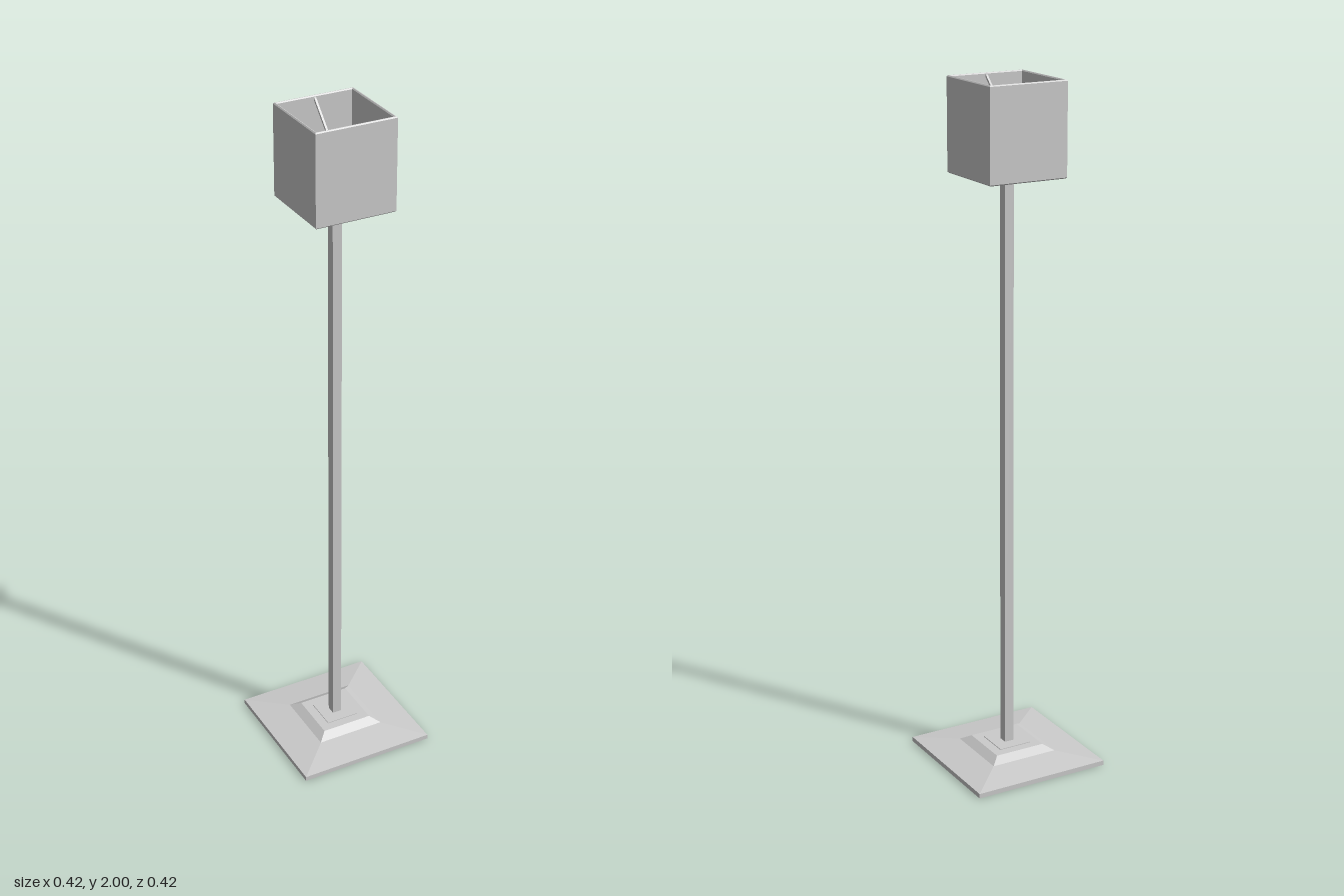
import * as THREE from 'three';

export function createModel() {
  const group = new THREE.Group();
  const material = new THREE.MeshStandardMaterial({ color: 0xcccccc, flatShading: true });

  const add = (name, geometry) => {
    const mesh = new THREE.Mesh(geometry, material);
    mesh.name = name;
    group.add(mesh);
    return mesh;
  };

  // Square block from y0 to y1 whose half width goes from h0 to h1
  const squareBlock = (name, y0, y1, h0, h1 = h0) => {
    const g = new THREE.CylinderGeometry(h1 * Math.SQRT2, h0 * Math.SQRT2, y1 - y0, 4);
    g.rotateY(Math.PI / 4).translate(0, (y0 + y1) / 2, 0);
    return add(name, g);
  };

  // Stepped square base
  squareBlock('baseSlab', 0, 0.014, 0.208);
  squareBlock('baseSlope', 0.014, 0.028, 0.208, 0.103);
  squareBlock('baseStep', 0.028, 0.044, 0.103, 0.077);
  squareBlock('poleFlange', 0.044, 0.046, 0.05);

  // Pole, ending inside the shade
  const poleTop = 1.89;
  squareBlock('pole', 0.046, poleTop, 0.014);

  // Open square shade with slightly bevelled rims
  const square = (path, h) => path.moveTo(-h, -h).lineTo(h, -h).lineTo(h, h).lineTo(-h, h).closePath();
  const bevel = 0.003, bottom = 1.735, top = 2;
  const outline = square(new THREE.Shape(), 0.116);
  outline.holes.push(square(new THREE.Path(), 0.114));
  const shade = new THREE.ExtrudeGeometry(outline, {
    depth: top - bottom - 2 * bevel,
    bevelThickness: bevel, bevelSize: bevel, bevelSegments: 1,
  });
  shade.rotateX(-Math.PI / 2).translate(0, bottom + bevel, 0);
  add('shade', shade);

  // Two struts sloping from the upper rim down to the pole top
  for (const side of [-1, 1]) {
    const rim = new THREE.Vector3(0, 1.993, side * 0.112);
    const hub = new THREE.Vector3(0, poleTop - 0.004, side * 0.006);
    const strut = add(side > 0 ? 'frontStrut' : 'backStrut',
      new THREE.BoxGeometry(0.006, 0.006, rim.distanceTo(hub)));
    strut.position.copy(rim).add(hub).multiplyScalar(0.5);
    strut.lookAt(rim);
  }

  return group;
}
